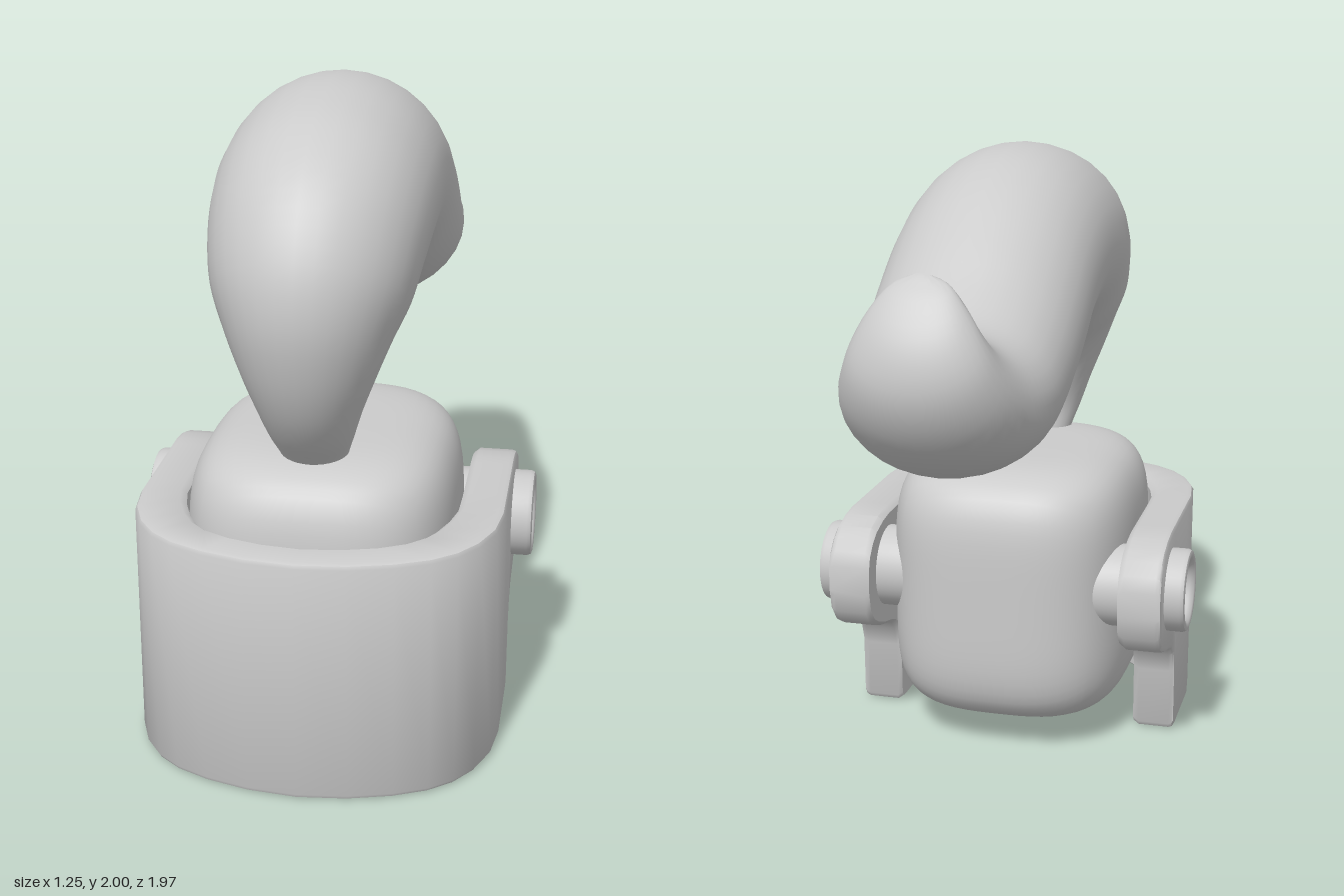
import * as THREE from 'three';
import { mergeVertices, toCreasedNormals } from 'three/addons/utils/BufferGeometryUtils.js';

const material = new THREE.MeshStandardMaterial({ color: 0xcccccc });

function part(name, geometry) {
  const mesh = new THREE.Mesh(geometry, material);
  mesh.name = name;
  return mesh;
}

// Skin a row of equal-sized rings (counter-clockwise about the travel direction), capped at both ends.
function loft(rings, crease) {
  const n = rings[0].length, index = [];
  for (let i = 0; i < rings.length - 1; i++) {
    for (let j = 0; j < n; j++) {
      const a = i * n + j, b = i * n + (j + 1) % n;
      index.push(a, b, b + n, a, b + n, a + n);
    }
  }
  const last = (rings.length - 1) * n;
  for (let j = 1; j < n - 1; j++) {
    index.push(0, j + 1, j, last, last + j, last + j + 1);
  }
  const g = new THREE.BufferGeometry().setFromPoints(rings.flat());
  g.setIndex(index);
  return toCreasedNormals(g, crease);
}

// Curling plume: each station is outer z, y, inner z, y, half width.
function plumeGeometry() {
  const stations = [
    [0.66, 0.89, 0.53, 0.89, 0.09], [0.71, 0.95, 0.535, 0.96, 0.10],
    [0.79, 1.03, 0.545, 1.04, 0.125], [0.87, 1.14, 0.53, 1.12, 0.155],
    [0.93, 1.28, 0.51, 1.19, 0.195], [0.96, 1.45, 0.47, 1.255, 0.24],
    [0.93, 1.62, 0.42, 1.30, 0.285], [0.82, 1.80, 0.36, 1.335, 0.31],
    [0.63, 1.93, 0.30, 1.355, 0.325], [0.42, 1.985, 0.24, 1.365, 0.33],
    [0.22, 2.0, 0.18, 1.365, 0.33], [0.02, 1.975, 0.09, 1.34, 0.33],
    [-0.18, 1.90, 0.0, 1.30, 0.33], [-0.36, 1.78, -0.12, 1.23, 0.33],
    [-0.50, 1.67, -0.30, 1.15, 0.325], [-0.62, 1.60, -0.52, 1.11, 0.315],
    [-0.70, 1.59, -0.73, 1.15, 0.285], [-0.77, 1.615, -0.90, 1.27, 0.245],
    [-0.80, 1.66, -0.98, 1.42, 0.20], [-0.805, 1.71, -0.97, 1.56, 0.15],
    [-0.815, 1.745, -0.90, 1.69, 0.09], [-0.83, 1.757, -0.84, 1.752, 0.02],
  ];
  const outer = new THREE.CatmullRomCurve3(stations.map(s => new THREE.Vector3(s[4], s[1], s[0])));
  const inner = new THREE.CatmullRomCurve3(stations.map(s => new THREE.Vector3(0, s[3], s[2])));
  const rings = [], steps = 84, sides = 32;
  for (let i = 0; i <= steps; i++) {
    const o = outer.getPoint(i / steps), p = inner.getPoint(i / steps), ring = [];
    for (let j = 0; j < sides; j++) {
      const a = j / sides * Math.PI * 2, k = (1 + Math.cos(a)) / 2;
      ring.push(new THREE.Vector3(Math.sin(a) * o.x,
        THREE.MathUtils.lerp(p.y, o.y, k), THREE.MathUtils.lerp(p.z, o.z, k)));
    }
    rings.push(ring);
  }
  return loft(rings, 0.9);
}

// Soft block: a cube pushed out to a superellipsoid.
function blockGeometry() {
  const box = new THREE.BoxGeometry(2, 2, 2, 20, 20, 20);
  box.deleteAttribute('normal');
  box.deleteAttribute('uv');
  const g = mergeVertices(box), p = g.attributes.position;
  for (let i = 0; i < p.count; i++) {
    const x = p.getX(i), y = p.getY(i), z = p.getZ(i);
    const plan = (Math.abs(x) ** 3 + Math.abs(z) ** 3) ** (4.8 / 3);
    const s = (plan + Math.abs(y) ** 4.8) ** (-1 / 4.8);
    p.setXYZ(i, x * s * 0.41, 0.525 + y * s * 0.445, 0.36 + z * s * 0.5);
  }
  g.computeVertexNormals();
  return g;
}

// U-shaped guard: bevelled wall swept from one arm round the front to the other.
function guardGeometry() {
  // arm stations: z, bottom, top
  const arm = [
    [-0.11, 0.52, 0.62], [-0.095, 0.455, 0.67], [-0.06, 0.41, 0.71], [-0.02, 0.387, 0.735],
    [0.05, 0.36, 0.755], [0.12, 0.342, 0.763], [0.17, 0.325, 0.763], [0.205, 0.29, 0.763],
    [0.23, 0.22, 0.763], [0.235, 0.02, 0.763], [0.245, 0.005, 0.763], [0.27, 0, 0.763],
  ];
  // front stations: outer x, z, inner x, z
  const front = [
    [0.56, 0.42, 0.42, 0.42], [0.56, 0.54, 0.418, 0.52], [0.545, 0.66, 0.40, 0.60],
    [0.505, 0.76, 0.37, 0.68], [0.45, 0.835, 0.335, 0.74], [0.38, 0.89, 0.285, 0.79],
    [0.28, 0.935, 0.21, 0.83], [0.15, 0.97, 0.11, 0.858], [0, 0.985, 0, 0.87],
  ];
  const half = [
    ...arm.map(([z, b, t]) => [0.56, z, 0.42, z, b, t]),
    ...front.map(f => [...f, 0, 0.763]),
  ];
  const mirrored = half.slice(0, -1).reverse().map(([xo, zo, xi, ...rest]) => [-xo, zo, -xi, ...rest]);
  const e = 0.13, h = 0.015;
  const rings = [...half, ...mirrored].map(([xo, zo, xi, zi, b, t]) => {
    const at = (k, y) => new THREE.Vector3(THREE.MathUtils.lerp(xo, xi, k), y, THREE.MathUtils.lerp(zo, zi, k));
    return [at(0, b + h), at(0, t - h), at(e * 0.3, t - h * 0.3), at(e, t), at(1 - e, t), at(1, t - h),
      at(1, b + h), at(1 - e, b), at(e, b), at(e * 0.3, b + h * 0.3)];
  });
  return loft(rings, 0.7);
}

// Hinge pin with a dished end, turned about the x axis.
function hingeGeometry() {
  const profile = [[0.138, 0.3], [0.138, 0.61], [0.133, 0.622], [0.122, 0.626], [0.108, 0.622],
    [0.098, 0.608], [0.094, 0.59], [0, 0.59]].map(p => new THREE.Vector2(...p));
  return toCreasedNormals(new THREE.LatheGeometry(profile, 40), 0.7);
}

export function createModel() {
  const model = new THREE.Group();
  model.name = 'model';
  model.add(part('plume', plumeGeometry()), part('body', blockGeometry()), part('frontGuard', guardGeometry()));

  const hinge = hingeGeometry();
  for (const side of [1, -1]) {
    const pin = part(side > 0 ? 'leftHinge' : 'rightHinge', hinge);
    pin.position.set(0, 0.568, 0.1);
    pin.rotation.z = -side * Math.PI / 2;
    model.add(pin);
  }
  return model;
}
